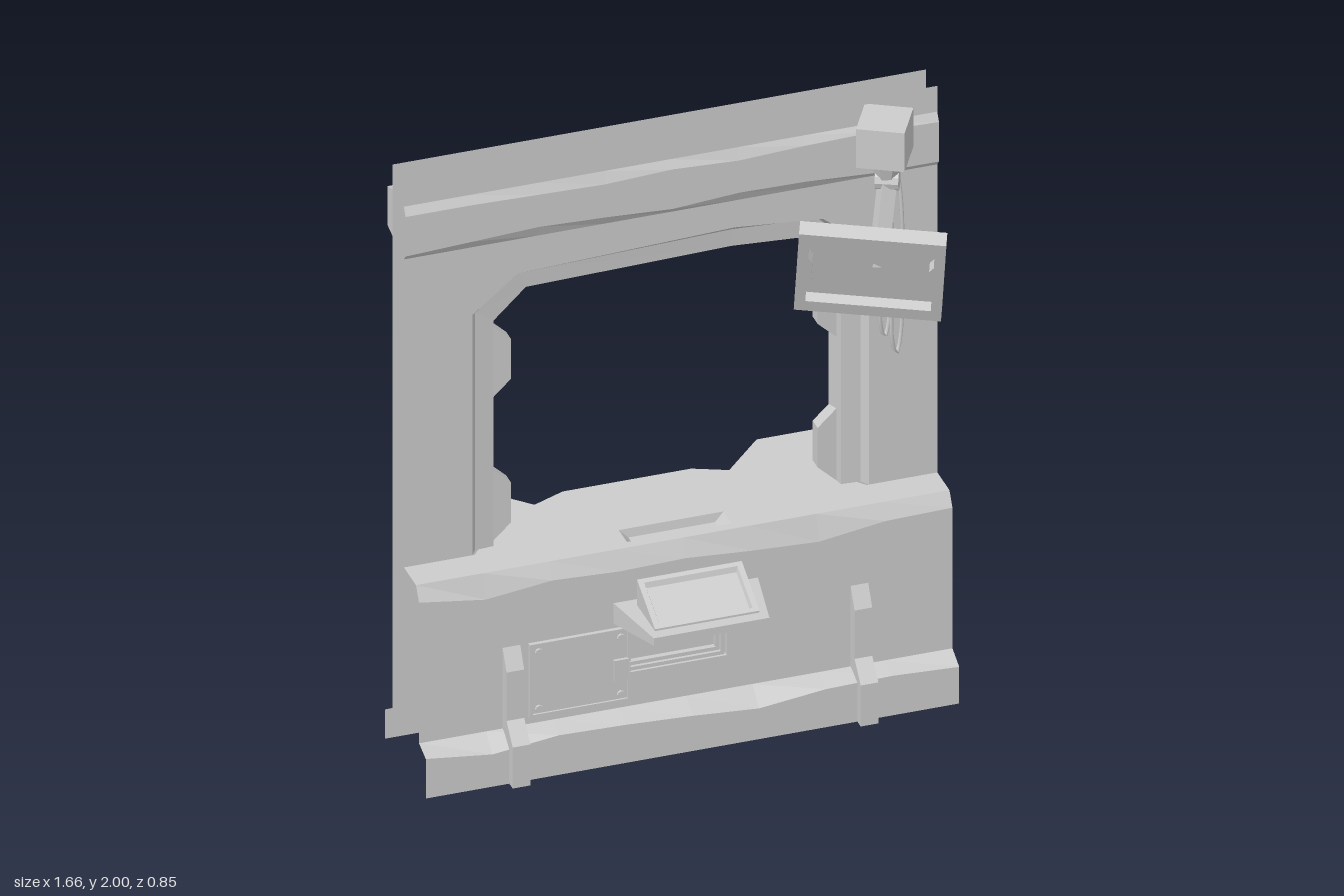
import * as THREE from 'three';
import { ConvexGeometry } from 'three/addons/geometries/ConvexGeometry.js';

const flat = new THREE.MeshStandardMaterial({ color: 0xcccccc, flatShading: true, side: THREE.DoubleSide });
const smooth = new THREE.MeshStandardMaterial({ color: 0xcccccc });
const W = 0.83, FRONT = 0.055, BACK = -0.045, SILL = 0.68;
const v3 = (x, y, z) => new THREE.Vector3(x, y, z);
const v2 = pts => pts.map(([x, y]) => new THREE.Vector2(x, y));

// Surface through rows of [x, y, z] points
function loft(rows) {
  const out = [];
  for (let i = 0; i + 1 < rows.length; i++) {
    for (let j = 0; j + 1 < rows[i].length; j++) {
      const a = rows[i][j], b = rows[i][j + 1], c = rows[i + 1][j], d = rows[i + 1][j + 1];
      out.push(...a, ...c, ...d, ...a, ...d, ...b);
    }
  }
  const g = new THREE.BufferGeometry();
  g.setAttribute('position', new THREE.Float32BufferAttribute(out, 3));
  g.computeVertexNormals();
  return g;
}

// Extrude a [z, y] profile along x
function prism(profile, x0, x1) {
  const shape = new THREE.Shape(v2(profile.map(([z, y]) => [-z, y])));
  return new THREE.ExtrudeGeometry(shape, { depth: x1 - x0, bevelEnabled: false })
    .rotateY(Math.PI / 2).translate(x0, 0, 0);
}

// Flat shape with optional hole, extruded if depth is given
function plate(outline, hole, depth) {
  const shape = new THREE.Shape(v2(outline));
  if (hole) shape.holes.push(new THREE.Path(v2(hole)));
  return depth ? new THREE.ExtrudeGeometry(shape, { depth, bevelEnabled: false }) : new THREE.ShapeGeometry(shape);
}

const rect = (x0, y0, x1, y1) => [[x0, y0], [x1, y0], [x1, y1], [x0, y1]];
const box = (x0, x1, y0, y1, z0, z1) => new THREE.BoxGeometry(x1 - x0, y1 - y0, z1 - z0)
  .translate((x0 + x1) / 2, (y0 + y1) / 2, (z0 + z1) / 2);

// Closed rectangular ring lying over x and z, height given by a function of z
const ring = (hx, z0, z1, height) => [[-hx, z1], [-hx, z0], [hx, z0], [hx, z1], [-hx, z1]]
  .map(([x, z]) => [x, height(z), z]);

export function createModel() {
  const root = new THREE.Group();
  const add = (name, geometry, parent = root, material = flat) => {
    const m = new THREE.Mesh(geometry, material);
    m.name = name;
    parent.add(m);
    return m;
  };

  // Window outlines from the front recess to the back opening
  const outline = (x, yCorner, xTop, yTop, yMid) => [[-x, SILL], [-x, yCorner], [-xTop, yTop],
    [0.2, yMid], [xTop, yTop], [x, yCorner], [x, SILL]];
  const outer = outline(0.617, 1.5, 0.475, 1.615, 1.64);
  const step = outline(0.6, 1.49, 0.465, 1.605, 1.62);
  const inner = outline(0.54, 1.45, 0.44, 1.545, 1.56);
  const opening = outline(0.527, 1.43, 0.43, 1.525, 1.535);
  const at = (pts, z) => pts.map(([x, y]) => [x, y, z]);

  // Wall sheets and window reveal
  add('frontWall', plate([[-W, SILL], ...outer, [W, SILL], [W, 2], [-W, 2]]).translate(0, 0, FRONT));
  add('backWall', plate(rect(-W, 0.14, W, 2), opening).rotateY(Math.PI).translate(0, 0, BACK));
  add('windowReveal', loft([at(outer, FRONT), at(step, 0.03), at(inner, 0.025), at(opening, BACK)]));

  // Tabs along the window sides
  for (const s of [-1, 1]) {
    for (const y of [SILL, 1.17]) {
      const tab = [[0.535, y], [0.477, y + 0.055], [0.477, y + 0.19], [0.535, y + 0.245]];
      add('windowTab', plate(tab.map(([x, ty]) => [s * x, ty]), null, 0.045).translate(0, 0, BACK));
    }
  }

  // Dented trim strips: each row is [base height, z, dents across the width]
  const strip = rows => loft(rows.map(([y, z, dents]) => {
    const n = 8;
    return Array.from({ length: n + 1 }, (_, i) => [-W + 2 * W * i / n, y + (dents ? dents[i] : 0), z]);
  }));
  add('frontUpperTrim', strip([
    [1.912, FRONT], [1.885, 0.07, [0, 0, -0.005, -0.01, 0, -0.01, 0, 0.005, 0]],
    [1.75, 0.07, [0, 0.01, 0.02, 0.012, 0, 0.015, 0.012, 0, 0]], [1.732, FRONT]]));
  add('frontLowerPanel', strip([
    [SILL, 0.163], [0.62, 0.19, [0.015, -0.015, 0.01, 0, 0.005, -0.01, -0.02, 0.01, 0.015]],
    [0.155, 0.19], [0.125, 0.25, [0.01, -0.015, 0.01, 0.005, -0.005, -0.02, 0.005, 0.01, 0]], [0, 0.25]]));
  add('backUpperTrim', prism([[BACK, 1.915], [-0.092, 1.9], [-0.092, 1.768], [BACK, 1.755]], -W, W));
  add('backSkirt', loft([[0.145, BACK], [0.1, -0.115], [0, -0.115]].map(([y, z]) => [[W, y, z], [-W, y, z]])));

  // Sill with sunken tray
  add('sill', plate([[-W, -0.163], [W, -0.163], [W, -FRONT], [0.61, -FRONT], [0.53, -BACK], [-0.53, -BACK],
    [-0.61, -FRONT], [-W, -FRONT]], rect(-0.163, -0.133, 0.163, -0.06))
    .rotateX(-Math.PI / 2).translate(0, SILL, 0));
  add('sillTray', loft([ring(0.163, 0.06, 0.133, () => SILL), ring(0.135, 0.065, 0.117, () => 0.652),
    ring(0, 0.09, 0.09, () => 0.652)]));

  // Rear shelf and brackets
  const half = [[0.655, -BACK], [0.655, 0.43], [0.437, 0.43], [0.303, 0.29], [0.2, 0.335]];
  add('rearShelf', plate([...half, ...half.map(([x, y]) => [-x, y]).reverse()], null, 0.048)
    .rotateX(-Math.PI / 2).translate(0, 0.55, 0));
  for (const x of [-0.6, 0.43]) {
    add('shelfBracket', prism([[BACK, 0.55], [-0.31, 0.55], [-0.265, 0.485], [BACK, 0.485]], x, x + 0.17));
  }

  // Lower posts
  for (const x of [-0.57, 0.513]) {
    add('lowerPost', prism([[0.19, 0], [0.28, 0], [0.28, 0.14], [0.225, 0.2], [0.225, 0.365], [0.19, 0.43]], x, x + 0.055));
  }

  // Small console with a sloped, sunken screen
  const console_ = new THREE.Group();
  console_.name = 'console';
  root.add(console_);
  const corners = [];
  for (const s of [-1, 1]) {
    corners.push(v3(s * 0.225, 0.445, 0.188), v3(s * 0.225, 0.515, 0.188), v3(s * 0.18, 0.49, 0.42), v3(s * 0.18, 0.515, 0.42));
  }
  add('consoleBody', new ConvexGeometry(corners), console_);
  const slope = z => 0.6 - (z - 0.225) * 0.5;
  const sunk = z => slope(z) - 0.015;
  add('consoleScreen', loft([ring(0.163, 0.222, 0.382, () => 0.51), ring(0.163, 0.222, 0.382, slope),
    ring(0.145, 0.235, 0.37, slope), ring(0.14, 0.24, 0.365, sunk), ring(0, 0.3, 0.3, sunk)]), console_);

  // Access hatch with rim, bolts and latch
  add('hatchPlate', box(-0.49, -0.175, 0.18, 0.43, 0.185, 0.197));
  add('hatchRim', plate(rect(-0.49, 0.18, -0.175, 0.43), rect(-0.48, 0.19, -0.185, 0.42), 0.008).translate(0, 0, 0.195));
  for (const x of [-0.46, -0.205]) {
    for (const y of [0.207, 0.4]) {
      add('hatchBolt', new THREE.CylinderGeometry(0.012, 0.012, 0.01, 8).rotateX(Math.PI / 2).translate(x, y, 0.2));
    }
  }
  add('hatchLatch', box(-0.228, -0.182, 0.257, 0.327, 0.173, 0.207));

  // Bent conduits leading up to the console
  for (const [x, y, w] of [[0.14, 0.262, 0.018], [0.115, 0.285, 0.012], [0.098, 0.303, 0.012]]) {
    add('conduit', plate([[-0.18, y], [x, y], [x, 0.455], [x - w, 0.455], [x - w, y + w], [-0.18, y + w]], null, 0.02)
      .translate(0, 0, 0.187));
  }

  // Mount block, neck and arm
  const block = add('mountBlock', new THREE.BoxGeometry(0.145, 0.132, 0.15));
  block.position.set(0.633, 1.914, 0.15);
  block.rotation.y = -0.51;
  add('mountNeck', new THREE.CylinderGeometry(0.055, 0.03, 0.075, 8).translate(0.635, 1.815, 0.165));
  add('mountJoint', new THREE.CylinderGeometry(0.033, 0.033, 0.07, 10).rotateZ(Math.PI / 2).rotateY(-0.45)
    .translate(0.635, 1.785, 0.17));
  const from = v3(0.635, 1.785, 0.17), to = v3(0.582, 1.535, 0.235);
  const arm = add('mountArm', new THREE.BoxGeometry(0.045, from.distanceTo(to), 0.045));
  arm.position.copy(from).lerp(to, 0.5);
  arm.quaternion.setFromUnitVectors(v3(0, 1, 0), from.clone().sub(to).normalize());

  // Tilted monitor with a recessed screen
  const monitor = new THREE.Group();
  monitor.name = 'monitor';
  monitor.position.set(0.554, 1.53, 0.25);
  monitor.rotation.set(0.37, -0.41, -0.07, 'YXZ');
  root.add(monitor);
  const notch = s => [[0.185, -0.135], [0.185, -0.07], [0.172, -0.05], [0.172, 0.05], [0.185, 0.07], [0.185, 0.135]]
    .map(([x, y]) => [s * x, s * y]);
  add('monitorFrame', plate(rect(-0.217, -0.18, 0.217, 0.18), [...notch(1), ...notch(-1)], 0.035)
    .translate(0, 0, -0.01), monitor);
  add('monitorBack', box(-0.217, 0.217, -0.18, 0.18, -0.025, -0.01), monitor);

  // Hanging cables
  for (const [x, low, z] of [[0.64, 1.222, 0.13], [0.673, 1.165, 0.14]]) {
    const path = new THREE.CatmullRomCurve3([v3(x - 0.005, 1.86, z - 0.03), v3(x + 0.018, 1.7, z - 0.015),
      v3(x + 0.018, low + 0.06, z - 0.013), v3(x, low, z), v3(x - 0.018, low + 0.06, z + 0.013),
      v3(x - 0.018, 1.5, z + 0.015), v3(x - 0.03, 1.8, z + 0.02)]);
    add('cable', new THREE.TubeGeometry(path, 48, 0.006, 6), root, smooth);
  }
  return root;
}
